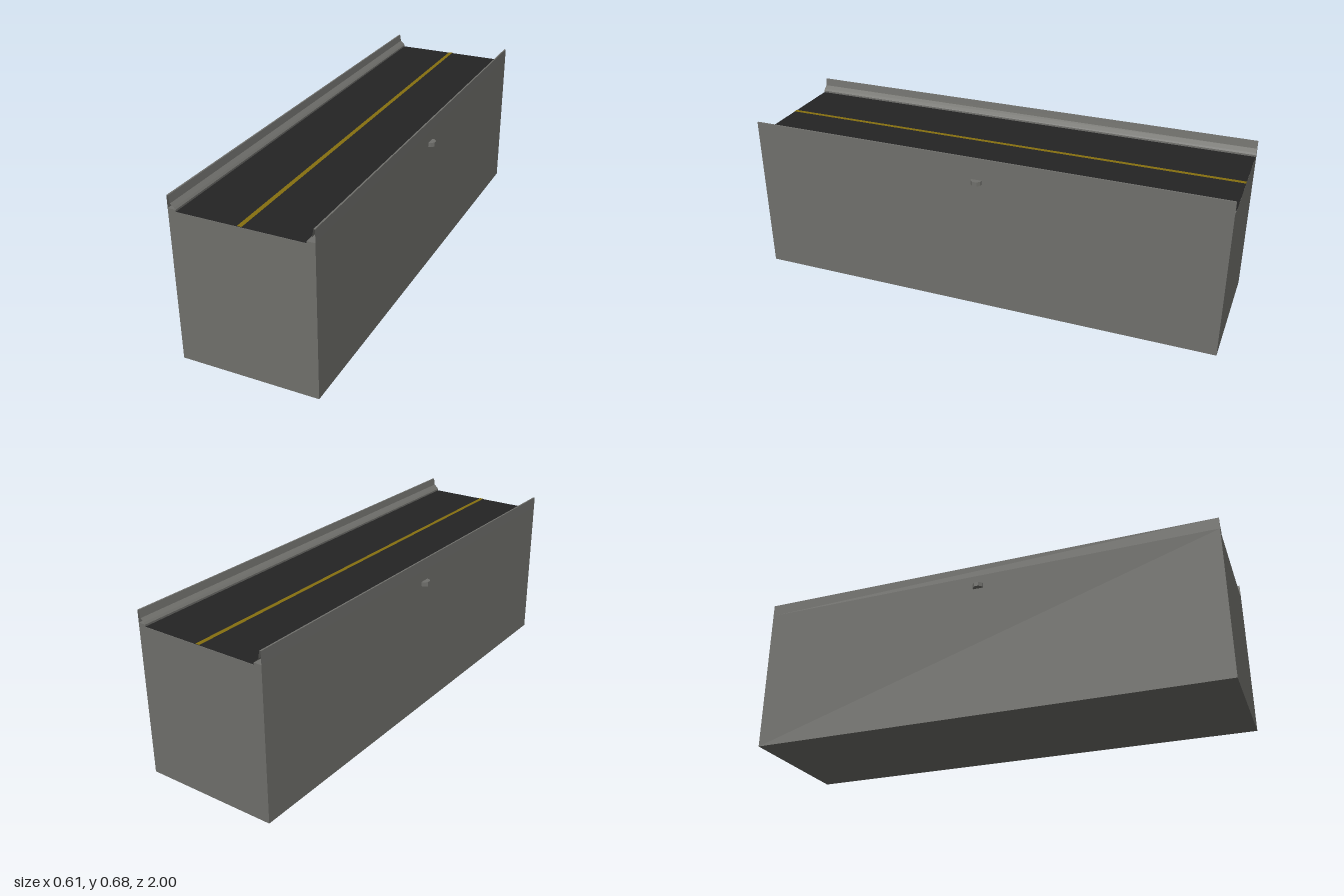
import * as THREE from 'three';

const LENGTH = 2;

// Open surface swept along z from a profile of [x, y] points
function sweep(profile) {
  const pos = [];
  const h = LENGTH / 2;
  for (let i = 0; i < profile.length - 1; i++) {
    const [ax, ay] = profile[i];
    const [bx, by] = profile[i + 1];
    pos.push(ax, ay, h, ax, ay, -h, bx, by, -h);
    pos.push(ax, ay, h, bx, by, -h, bx, by, h);
  }
  const geo = new THREE.BufferGeometry();
  geo.setAttribute('position', new THREE.Float32BufferAttribute(pos, 3));
  geo.computeVertexNormals();
  return geo;
}

export function createModel() {
  const concrete = new THREE.MeshStandardMaterial({ color: 0x70706c });
  concrete.name = 'concrete';
  const barrierConcrete = new THREE.MeshStandardMaterial({ color: 0x70706c, side: THREE.DoubleSide });
  barrierConcrete.name = 'barrierConcrete';
  const asphalt = new THREE.MeshStandardMaterial({ color: 0x242424 });
  asphalt.name = 'asphalt';
  const yellow = new THREE.MeshStandardMaterial({ color: 0x86700f });
  yellow.name = 'yellowPaint';

  const group = new THREE.Group();
  group.name = 'roadSection';
  const add = (name, geo, mat) => {
    const mesh = new THREE.Mesh(geo, mat);
    mesh.name = name;
    group.add(mesh);
    return mesh;
  };

  // Solid body, slightly wider at the top, with a low kerb on each side
  const half = [[0.282, 0], [0.2845, 0.625], [0.252, 0.625], [0.252, 0.616]];
  const outline = [...half, ...half.map(([x, y]) => [-x, y]).reverse()];
  const shape = new THREE.Shape(outline.map(([x, y]) => new THREE.Vector2(x, y)));
  const body = new THREE.ExtrudeGeometry(shape, { depth: LENGTH, bevelEnabled: false });
  body.translate(0, 0, -LENGTH / 2);
  add('body', body, concrete);

  // Road surface and centre line
  const road = new THREE.PlaneGeometry(0.504, LENGTH).rotateX(-Math.PI / 2);
  add('roadSurface', road, asphalt).position.y = 0.6175;
  const line = new THREE.PlaneGeometry(0.018, LENGTH).rotateX(-Math.PI / 2);
  add('centreLine', line, yellow).position.y = 0.6195;

  for (const [side, s] of [['left', 1], ['right', -1]]) {
    // Safety barrier with a sloped inner face and open ends
    const profile = [[0.2845, 0.625], [0.2845, 0.675], [0.278, 0.675],
      [0.273, 0.645], [0.258, 0.632], [0.252, 0.625]].map(([x, y]) => [s * x, y]);
    if (s < 0) profile.reverse();
    add(side + 'Barrier', sweep(profile), barrierConcrete);

    // Small eight-sided peg half set into the wall
    const peg = new THREE.CylinderGeometry(0.0238, 0.0238, 0.018, 8).rotateY(Math.PI / 8).toNonIndexed();
    peg.computeVertexNormals();
    add(side + 'Peg', peg, concrete).position.set(s * 0.284, 0.574, 0);
  }
  return group;
}
